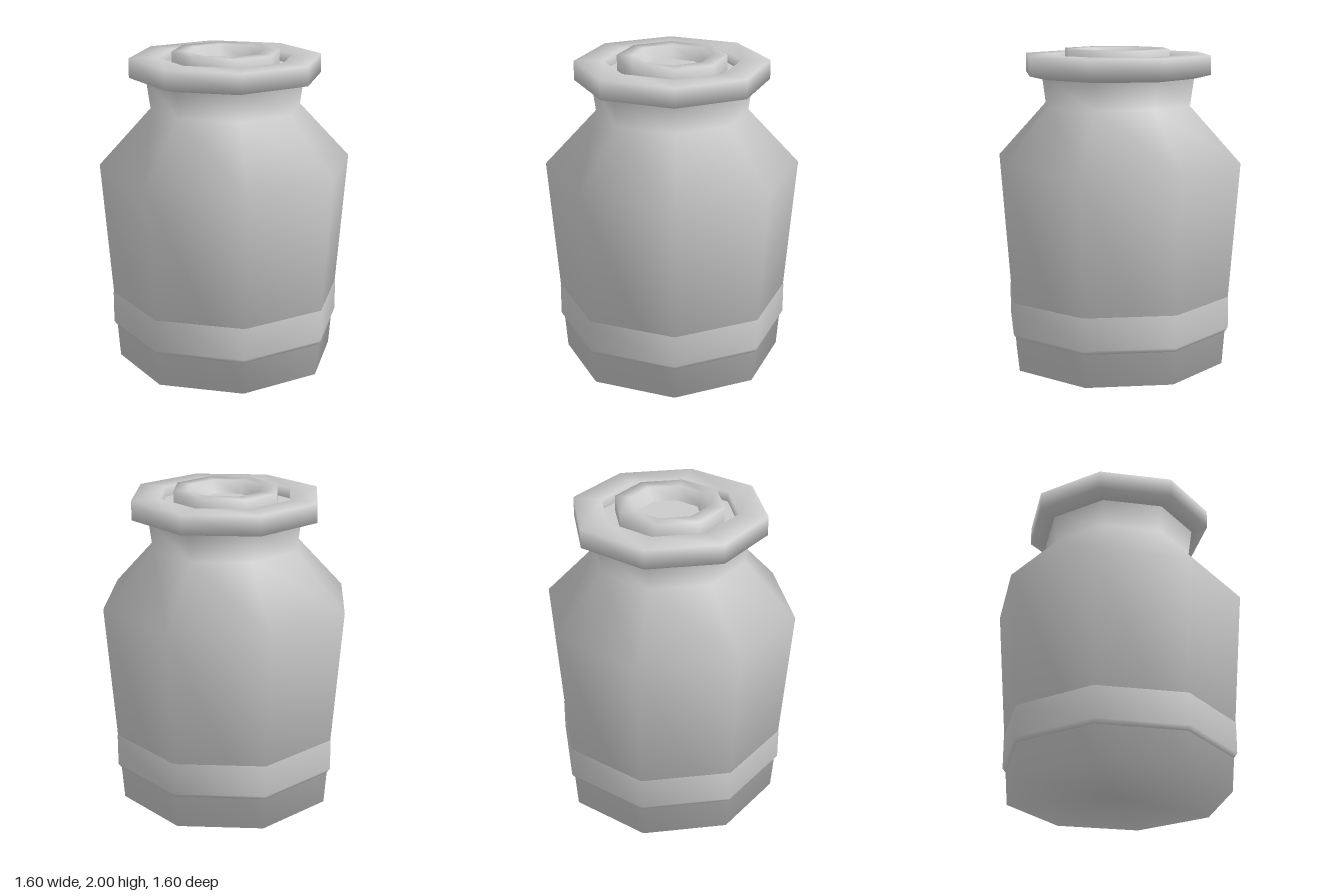
import * as THREE from 'three';

const SIDES = 8;

export function createModel() {
  const model = new THREE.Group();
  const material = new THREE.MeshStandardMaterial({ color: 0xcccccc });

  // Eight-sided turned part from [radius, height] pairs; the outside is listed upwards
  function turned(name, profile) {
    const points = profile.map(([r, y]) => new THREE.Vector2(r, y));
    const mesh = new THREE.Mesh(new THREE.LatheGeometry(points, SIDES), material);
    mesh.name = name;
    model.add(mesh);
  }

  // Jar body: flaring wall, sloped shoulder and neck
  turned('body', [[0, 0], [0.70, 0], [0.80, 1.30], [0.475, 1.65], [0.50, 1.83]]);

  // Raised band around the base, its top edge merging into the wall
  turned('band', [[0.70, 0.21], [0.715, 0.21], [0.737, 0.24], [0.737, 0.44], [0.72, 0.45]]);

  // Lid rim with a bevelled underside and an inner wall
  turned('lidRim', [[0.46, 1.81], [0.50, 1.82], [0.605, 1.845], [0.605, 1.965], [0.425, 1.965], [0.425, 1.90]]);

  // Flat floor of the groove between rim and knob
  turned('lidGroove', [[0.425, 1.90], [0.34, 1.90]]);

  // Raised ring in the middle of the lid, with a tapered hollow
  turned('knobRing', [[0.34, 1.90], [0.34, 2.0], [0.245, 2.0], [0.20, 1.92]]);

  // Floor of the hollow
  turned('knobFloor', [[0.20, 1.92], [0, 1.92]]);

  return model;
}
